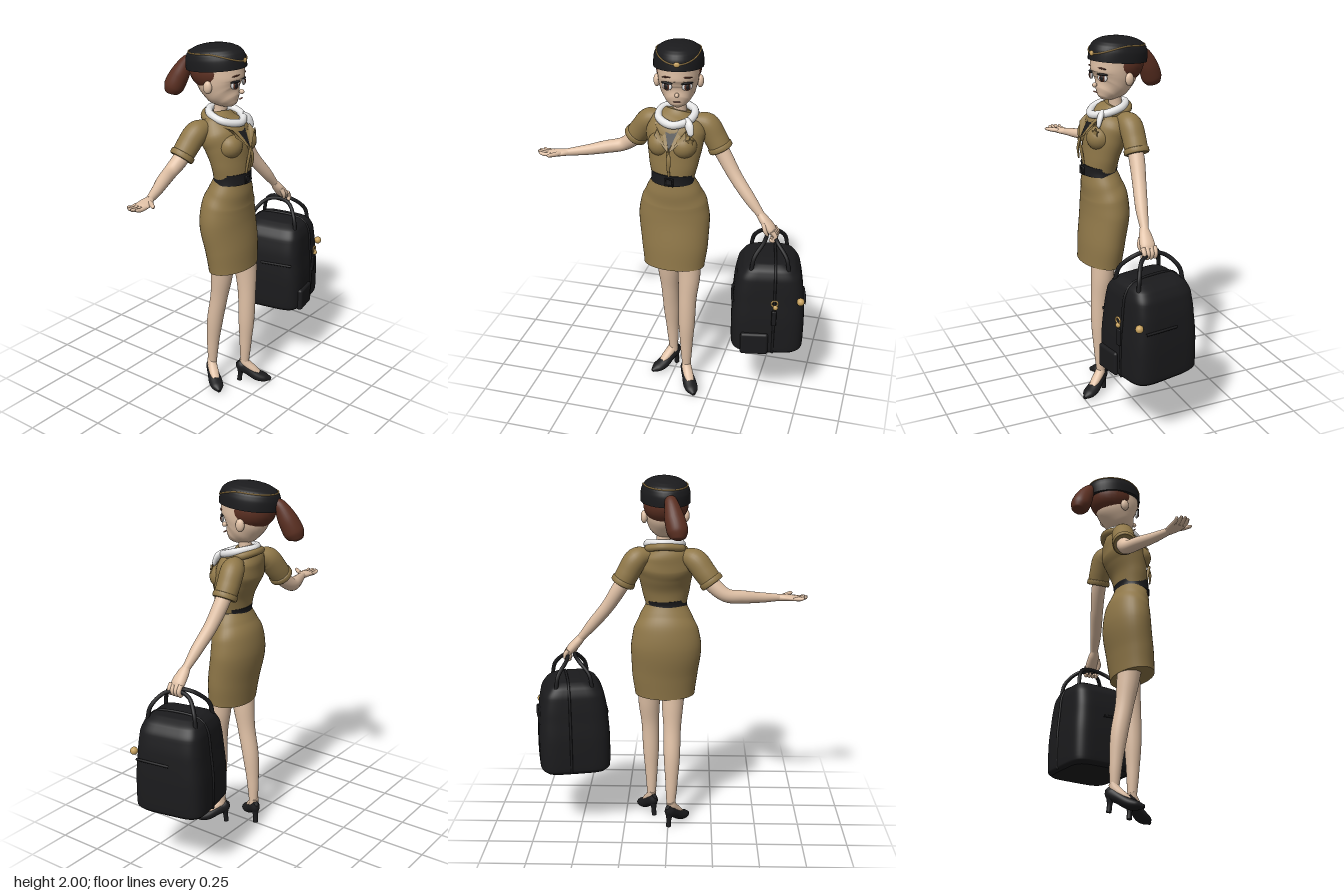
import * as THREE from 'three';
import { RoundedBoxGeometry } from 'three/addons/geometries/RoundedBoxGeometry.js';

const V = (x, y, z) => new THREE.Vector3(x, y, z);
const UP = V(0, 1, 0), FRONT = V(0, 0, 1);

// Lofts elliptical sections [x, y, z, radiusA, radiusB] along a smooth path.
// ref sets the section's roll; power above 2 squares the section off.
function sweep(pts, ref = FRONT, n = 28, power = 2, perSpan = 6) {
  const path = new THREE.CatmullRomCurve3(pts.map(p => V(p[0], p[1], p[2])));
  const size = new THREE.CatmullRomCurve3(pts.map(p => V(p[3], p[4] ?? p[3], 0)), false, 'catmullrom', 0.35);
  const rows = (pts.length - 1) * perSpan, pos = [], idx = [];
  const bend = c => Math.sign(c) * Math.abs(c) ** (2 / power);
  const ring = i => {
    const c = path.getPoint(i / rows), s = size.getPoint(i / rows), t = path.getTangent(i / rows);
    const side = ref.clone().cross(t).normalize(), nrm = t.clone().cross(side);
    for (let j = 0; j < n; j++) {
      const a = j / n * Math.PI * 2;
      const p = c.clone().addScaledVector(side, bend(Math.cos(a)) * s.x).addScaledVector(nrm, bend(Math.sin(a)) * s.y);
      pos.push(p.x, p.y, p.z);
    }
    return c;
  };
  for (let i = 0; i <= rows; i++) {
    ring(i);
    for (let j = 0; j < n && i < rows; j++) {
      const a = i * n + j, b = i * n + (j + 1) % n;
      idx.push(a, b, a + n, b, b + n, a + n);
    }
  }
  for (const end of [0, rows]) {
    const base = pos.length / 3, c = ring(end);
    pos.push(c.x, c.y, c.z);
    for (let j = 0; j < n; j++) {
      const a = base + j, b = base + (j + 1) % n;
      end ? idx.push(a, b, base + n) : idx.push(b, a, base + n);
    }
  }
  const g = new THREE.BufferGeometry();
  g.setAttribute('position', new THREE.Float32BufferAttribute(pos, 3));
  g.setIndex(idx);
  g.computeVertexNormals();
  return g;
}

const cord = (pts, r, closed = false) =>
  new THREE.TubeGeometry(new THREE.CatmullRomCurve3(pts.map(p => V(...p)), closed), 64, r, 10, closed);
const ball = (x, y, z) => new THREE.SphereGeometry(1, 24, 16).scale(x, y, z ?? x);

// Flat fan through a few corners
function plate(pts) {
  const g = new THREE.BufferGeometry(), idx = [];
  g.setAttribute('position', new THREE.Float32BufferAttribute(pts.flat(), 3));
  for (let i = 1; i < pts.length - 1; i++) idx.push(0, i, i + 1);
  g.setIndex(idx);
  g.computeVertexNormals();
  return g;
}

export function createModel() {
  const mat = (name, color, side = THREE.FrontSide) => new THREE.MeshStandardMaterial({ name, color, side });
  const skin = mat('skin', 0xe0c1a6), khaki = mat('khaki', 0x907849, THREE.DoubleSide), black = mat('black', 0x1b1b1d);
  const brown = mat('brown hair', 0x5c3022), white = mat('white', 0xe6e6e6), gold = mat('gold', 0xc6a05c), lip = mat('lip', 0xb97f6e);
  const model = new THREE.Group();
  const group = (name, parent, x = 0, y = 0, z = 0, ry = 0) => {
    const g = new THREE.Group();
    g.name = name; g.position.set(x, y, z); g.rotation.y = ry;
    parent.add(g);
    return g;
  };
  const add = (parent, name, geo, m, x = 0, y = 0, z = 0) => {
    const mesh = new THREE.Mesh(geo, m);
    mesh.name = name; mesh.position.set(x, y, z);
    parent.add(mesh);
    return mesh;
  };

  // Clothes
  const outfit = group('uniform', model);
  add(outfit, 'skirt', sweep([[.02, .77, .095, .168, .112], [.02, .9, .082, .184, .118], [.012, 1.05, .06, .195, .122],
    [.013, 1.15, .063, .18, .117], [.013, 1.22, .078, .148, .104], [.012, 1.3, .09, .108, .086]], FRONT, 40), khaki);
  add(outfit, 'jacket', sweep([[.012, 1.28, .09, .11, .088], [.014, 1.38, .08, .132, .094], [.015, 1.47, .058, .148, .11],
    [.013, 1.53, .035, .158, .113], [.013, 1.59, .008, .128, .088], [.02, 1.635, -.005, .07, .06]], FRONT, 40), khaki);
  add(outfit, 'belt', sweep([[.012, 1.275, .09, .117, .096], [.012, 1.3, .09, .114, .093], [.013, 1.325, .088, .117, .096]], FRONT, 40, 2, 2), black);
  add(outfit, 'buckle', new THREE.TorusGeometry(.027, .006, 8, 4, Math.PI * 2).rotateZ(Math.PI / 4), black, .018, 1.3, .19);
  for (const s of [-1, 1]) {
    add(outfit, 'bust', ball(.068, .068, .068), khaki, .016 + s * .062, 1.485, .115);
    const x = v => .018 + s * v;
    add(outfit, 'lapel', plate([[x(0), 1.47, .205], [x(.085), 1.545, .165], [x(.075), 1.575, .142], [x(.1), 1.59, .1], [x(.045), 1.62, .105]]), khaki);
  }
  add(outfit, 'shirt', plate([[.018, 1.48, .2], [.068, 1.61, .11], [-.032, 1.61, .11]]), black);
  add(outfit, 'placket', sweep([[.014, 1.33, .178, .006], [.014, 1.4, .19, .008], [.016, 1.48, .205, .008]]), khaki);
  add(outfit, 'ribbonEnd', sweep([[.02, 1.48, .2, .006], [.022, 1.43, .213, .012, .005], [.02, 1.37, .208, .008, .004]]), khaki);
  add(outfit, 'collar', cord([[.1, 1.605, .06], [.1, 1.62, -.03], [.02, 1.635, -.07], [-.07, 1.62, -.03], [-.07, 1.605, .06]], .02), khaki);
  const star = new THREE.Shape(Array.from({ length: 10 }, (_, i) => {
    const r = i % 2 ? .01 : .024, a = i * Math.PI / 5;
    return new THREE.Vector2(Math.sin(a) * r, Math.cos(a) * r);
  }));
  add(outfit, 'brooch', new THREE.ExtrudeGeometry(star, { depth: .009, bevelEnabled: false }), khaki, .118, 1.525, .15).rotation.y = .45;
  add(outfit, 'scarf', cord([[.02, 1.598, .135], [.1, 1.615, .085], [.105, 1.64, 0], [.02, 1.65, -.055], [-.065, 1.64, 0], [-.065, 1.615, .085]], .021, true), white);
  add(outfit, 'scarfTail', sweep([[.085, 1.625, .095, .014], [.105, 1.6, .12, .023, .016], [.118, 1.56, .135, .016, .01], [.12, 1.545, .135, .003]]), white);

  // Arms: shoulder to wrist with short cuffed sleeves
  const arm = (name, sleeve, limb) => {
    const g = group(name, model), [a, b] = sleeve.slice(-2);
    add(g, 'sleeve', sweep(sleeve, UP), khaki);
    const cuff = [.6, .66, .95, 1.02].map((t, i) => [0, 1, 2].map(k => a[k] + (b[k] - a[k]) * t).concat(i % 3 ? .066 : .06));
    add(g, 'cuff', sweep(cuff, UP, 28, 2, 2), khaki);
    add(g, 'forearm', sweep(limb, UP), skin);
    return g;
  };
  const rightArm = arm('rightArm',
    [[-.08, 1.575, 0, .04], [-.145, 1.555, -.025, .062], [-.195, 1.495, -.043, .062], [-.24, 1.435, -.055, .059]],
    [[-.18, 1.5, -.042, .042], [-.25, 1.42, -.06, .042], [-.315, 1.374, -.068, .037], [-.4, 1.36, -.04, .035],
      [-.5, 1.347, .002, .028], [-.605, 1.338, .043, .019]]);
  add(rightArm, 'palm', sweep([[-.59, 1.338, .04, .018], [-.63, 1.337, .05, .034, .018], [-.675, 1.333, .057, .04, .015], [-.7, 1.332, .059, .034, .01]], UP), skin);
  [.027, .046, .066, .086].forEach((z, i) => {
    const tip = [-.742, -.757, -.76, -.748][i];
    add(rightArm, 'finger', sweep([[-.68, 1.333, z, .011], [-.72, 1.332, z, .01], [tip + .005, 1.338, z - .002, .008], [tip, 1.338, z - .002, .002]], UP, 10), skin);
  });
  add(rightArm, 'thumb', sweep([[-.63, 1.34, .07, .014], [-.655, 1.342, .105, .012], [-.675, 1.345, .13, .009], [-.68, 1.345, .138, .002]], UP, 10), skin);

  const leftArm = arm('leftArm',
    [[.1, 1.58, 0, .04], [.165, 1.56, -.02, .062], [.21, 1.49, -.025, .062], [.245, 1.425, -.024, .06]],
    [[.2, 1.5, -.02, .042], [.26, 1.4, -.016, .041], [.33, 1.29, .002, .036], [.41, 1.19, .027, .032], [.485, 1.1, .045, .021]]);
  add(leftArm, 'palm', sweep([[.475, 1.11, .045, .021], [.505, 1.075, .05, .026, .034], [.54, 1.035, .054, .026, .04], [.56, 1.005, .055, .014, .03]], FRONT), skin);
  for (let i = 0; i < 4; i++) {
    const z = .024 + i * .021;
    add(leftArm, 'finger', sweep([[.553, 1.035, z, .013], [.572, 1.005, z, .012], [.56, .98, z, .011], [.54, .985, z, .008]], FRONT, 10), skin);
  }
  add(leftArm, 'thumb', sweep([[.505, 1.07, .075, .014], [.515, 1.035, .088, .012], [.53, 1.0, .08, .007]], FRONT, 10), skin);

  // Legs and heeled shoes
  const leg = (name, pts, x, z, turn) => {
    const g = group(name, model);
    add(g, 'leg', sweep(pts), skin);
    const shoe = group('shoe', g, x, 0, z, turn);
    add(shoe, 'foot', sweep([[0, .15, .018, .023], [0, .115, .035, .027], [0, .08, .08, .027, .02], [0, .06, .11, .02, .012]], UP), skin);
    add(shoe, 'upper', sweep([[0, .125, -.008, .012, .018], [0, .1, .01, .028, .036], [0, .068, .055, .033, .03],
      [0, .038, .105, .039, .03], [0, .027, .145, .035, .024], [0, .018, .183, .01, .01]], UP), black);
    add(shoe, 'heel', sweep([[0, 0, -.002, .014], [0, .04, .002, .014], [0, .09, .008, .025]]), black);
  };
  leg('rightLeg', [[-.035, .92, .07, .075], [-.025, .72, .05, .061], [-.023, .57, .028, .049], [-.022, .42, 0, .046],
    [-.02, .25, -.018, .034], [-.016, .1, -.025, .023]], -.005, -.048, -.63);
  leg('leftLeg', [[.1, .92, .1, .075], [.11, .72, .115, .062], [.105, .57, .128, .05], [.102, .42, .13, .046],
    [.1, .25, .127, .034], [.1, .1, .122, .023]], .085, .1, .54);

  // Head, hair and face
  add(model, 'neck', sweep([[.02, 1.57, -.012, .045], [.025, 1.65, .0, .035], [.025, 1.74, .01, .04]]), skin);
  const head = group('head', model, .017, 1.8, 0, .2);
  add(head, 'face', sweep([[0, -.127, .072, .008, .01], [0, -.115, .067, .038, .038], [0, -.09, .052, .064, .066], [0, -.05, .024, .09, .102],
    [0, 0, .005, .104, .128], [0, .05, 0, .108, .136], [0, .1, -.005, .105, .135], [0, .14, -.01, .06, .08]], FRONT, 36), skin);
  add(head, 'hair', ball(.119, .112, .13), brown, 0, .058, -.034);
  add(head, 'ponytail', sweep([[0, .1, -.145, .022], [0, .085, -.185, .034], [-.01, .01, -.23, .052], [-.02, -.05, -.258, .055],
    [-.022, -.085, -.272, .04], [-.022, -.097, -.275, .012]], UP), brown);
  add(head, 'hairTie', new THREE.TorusGeometry(.026, .011, 10, 24), black, 0, .093, -.165).rotation.x = -.4;
  add(head, 'nose', ball(.011, .013, .014), skin, 0, -.043, .126);
  add(head, 'mouth', ball(.021, .004, .005), lip, 0, -.08, .122);
  for (const s of [-1, 1]) {
    add(head, 'ear', ball(.018, .034, .024), skin, s * .112, -.012, -.015);
    const eye = group('eye', head, s * .051, 0, .112, s * .42);
    add(eye, 'eyeWhite', ball(.029, .021, .008), white);
    add(eye, 'iris', ball(.017, .02, .006), brown, 0, 0, .005);
    add(eye, 'pupil', ball(.011, .014, .005), black, 0, 0, .008);
    add(eye, 'lashes', ball(.033, .006, .009), black, 0, .018, .003);
    add(eye, 'eyebrow', ball(.026, .004, .005), brown, 0, .05, .007).rotation.z = -s * .1;
  }

  // Cap with gold piping dipping to a badge
  const cap = group('cap', head);
  cap.rotation.x = -.1;
  const dome = u => Math.sqrt(Math.max(0, 1 - u ** 4)) + .002;
  const capRows = [0, .2, .4, .6, .75, .87, .95, .99, 1];
  add(cap, 'crown', sweep(capRows.map(u => [0, .072 + .126 * u, -.012, .13 * dome(u), .166 * dome(u)]), FRONT, 40), black);
  const piping = Array.from({ length: 32 }, (_, i) => {
    const a = i / 32 * Math.PI * 2, u = .7 - .42 * Math.max(0, Math.cos(a)) ** 2, r = dome(u);
    return [.131 * r * Math.sin(a), .072 + .126 * u, -.012 + .167 * r * Math.cos(a)];
  });
  add(cap, 'piping', cord(piping, .0035, true), gold);
  add(cap, 'badge', ball(.016, .013, .007), gold, 0, .108, .155);

  // Travel bag
  const bag = group('bag', model, .54, 0, .045, .2);
  add(bag, 'body', sweep([[0, .36, 0, .175, .18], [0, .385, 0, .196, .199], [0, .55, 0, .198, .198], [0, .7, 0, .188, .186],
    [0, .8, 0, .17, .176], [0, .85, 0, .14, .158], [0, .88, 0, .09, .12], [0, .886, 0, .04, .06]], FRONT, 56, 5), black);
  add(bag, 'pocket', new RoundedBoxGeometry(.15, .13, .04, 4, .015), black, -.07, .43, .195);
  const seam = [[.03, .37, .195], [.03, .55, .2], [.03, .7, .188], [.03, .82, .172], [.03, .872, .13]];
  add(bag, 'zip', cord([...seam, [.03, .89, 0], ...seam.map(([x, y, z]) => [x, y, -z]).reverse()], .007), black);
  for (const s of [-1, 1]) {
    add(bag, 'handle', cord([[s * .1, .84, .14], [s * .085, .92, .125], [s * .035, .985, .07], [s * .02, 1.0, 0],
      [s * .035, .985, -.07], [s * .085, .92, -.125], [s * .1, .84, -.14]], .011), black);
    add(bag, 'sideStrap', cord([[s * .19, .66, .16], [s * .196, .66, .08], [s * .194, .655, -.03]], .007), black);
  }
  add(bag, 'lockRing', new THREE.TorusGeometry(.017, .005, 8, 20), gold, .03, .695, .215);
  add(bag, 'lock', ball(.014, .014, .012), gold, .035, .672, .218);
  add(bag, 'tag', new RoundedBoxGeometry(.026, .09, .014, 3, .005), black, .03, .6, .21);
  add(bag, 'knob', ball(.021, .021, .021), gold, .168, .693, .185);
  return model;
}
